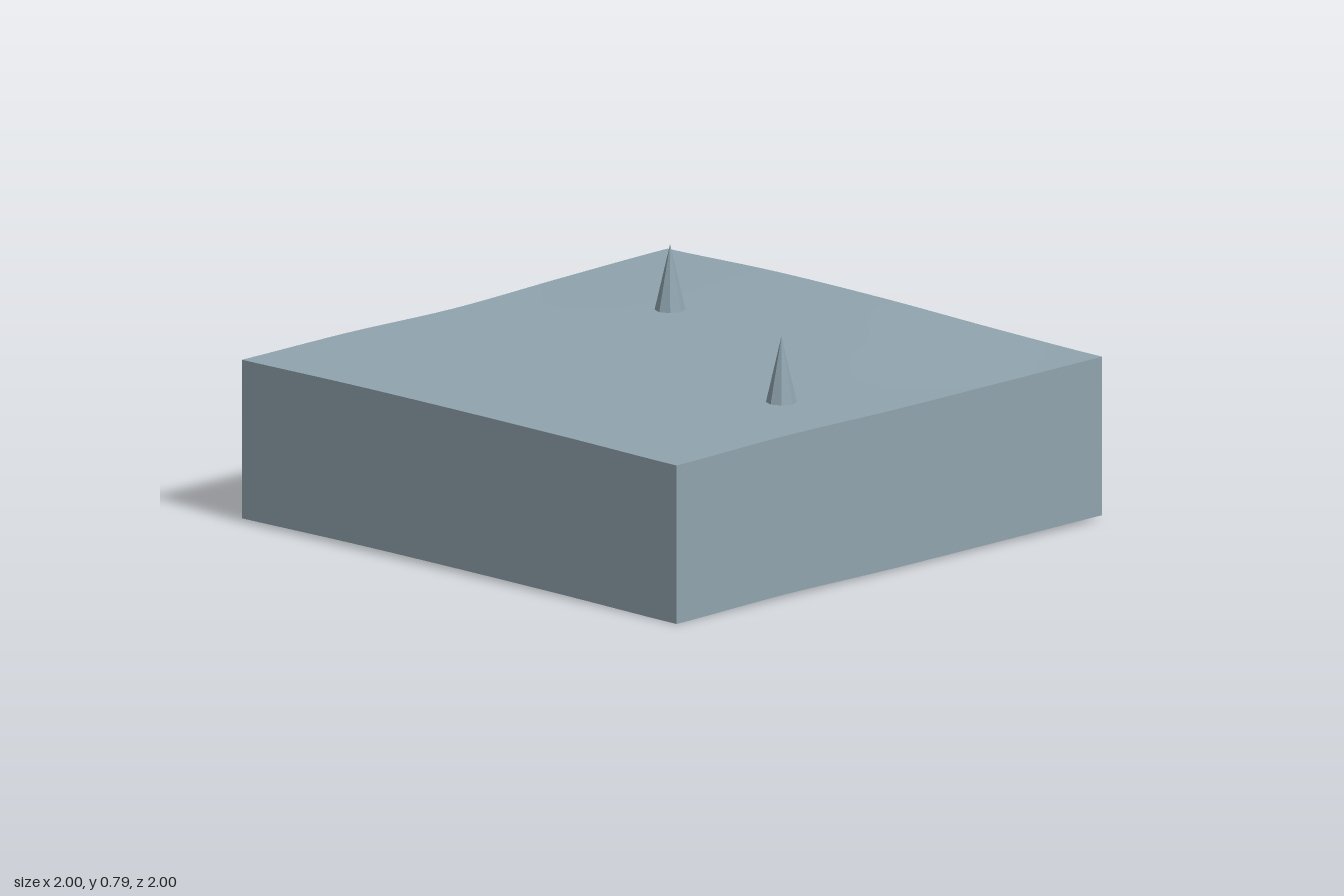
import * as THREE from 'three';

const DEPTH = 0.537; // wall height below the ground surface
const SEGMENTS = 24;

// Ground heights at x = -1 .. 1, one row for each z = -1 .. 1
const HEIGHTS = [
  [0.572, 0.581, 0.576, 0.562, 0.552],
  [0.561, 0.571, 0.572, 0.564, 0.548],
  [0.547, 0.549, 0.549, 0.548, 0.545],
  [0.553, 0.553, 0.552, 0.549, 0.547],
  [0.549, 0.552, 0.550, 0.545, 0.537],
];

// Smooth curve through five evenly spaced values, t from -1 to 1
function smooth(values, t) {
  const s = (t + 1) * 2;
  const i = Math.min(3, Math.max(0, Math.floor(s)));
  const f = s - i;
  const at = (k) => values[Math.min(4, Math.max(0, k))];
  const [a, b, c, d] = [at(i - 1), at(i), at(i + 1), at(i + 2)];
  return b + 0.5 * f * (c - a + f * (2 * a - 5 * b + 4 * c - d + f * (3 * (b - c) + d - a)));
}

const groundHeight = (x, z) => smooth(HEIGHTS.map((row) => smooth(row, x)), z);

export function createModel() {
  const model = new THREE.Group();
  model.name = 'terrainTile';
  const stone = new THREE.MeshStandardMaterial({ color: 0x90a4ae, side: THREE.DoubleSide });
  stone.name = 'blueGreyStone';
  const facetedStone = stone.clone();
  facetedStone.flatShading = true;
  facetedStone.name = 'blueGreyStoneFaceted';

  const add = (name, geometry, material) => {
    const mesh = new THREE.Mesh(geometry, material);
    mesh.name = name;
    model.add(mesh);
    return mesh;
  };

  // Gently rolling ground
  const ground = new THREE.PlaneGeometry(2, 2, SEGMENTS, SEGMENTS).rotateX(-Math.PI / 2);
  const gp = ground.attributes.position;
  for (let i = 0; i < gp.count; i++) gp.setY(i, groundHeight(gp.getX(i), gp.getZ(i)));
  ground.computeVertexNormals();
  add('ground', ground, stone);

  // Four skirt walls that follow the ground edge; the underside is open
  ['frontWall', 'leftWall', 'backWall', 'rightWall'].forEach((name, side) => {
    const wall = new THREE.PlaneGeometry(2, 1, SEGMENTS, 1)
      .translate(0, 0, 1)
      .rotateY((side * Math.PI) / 2);
    const p = wall.attributes.position;
    for (let i = 0; i < p.count; i++) {
      const top = groundHeight(p.getX(i), p.getZ(i));
      p.setY(i, p.getY(i) > 0 ? top : top - DEPTH);
    }
    add(name, wall, stone);
  });

  // Two pointed spikes standing on the ground
  [['backSpike', -0.42, -0.42], ['frontSpike', 0.665, 0.165]].forEach(([name, x, z]) => {
    const cone = new THREE.ConeGeometry(0.051, 0.222, 8, 1, true).translate(0, 0.111, 0);
    add(name, cone, facetedStone).position.set(x, groundHeight(x, z), z);
  });

  return model;
}
